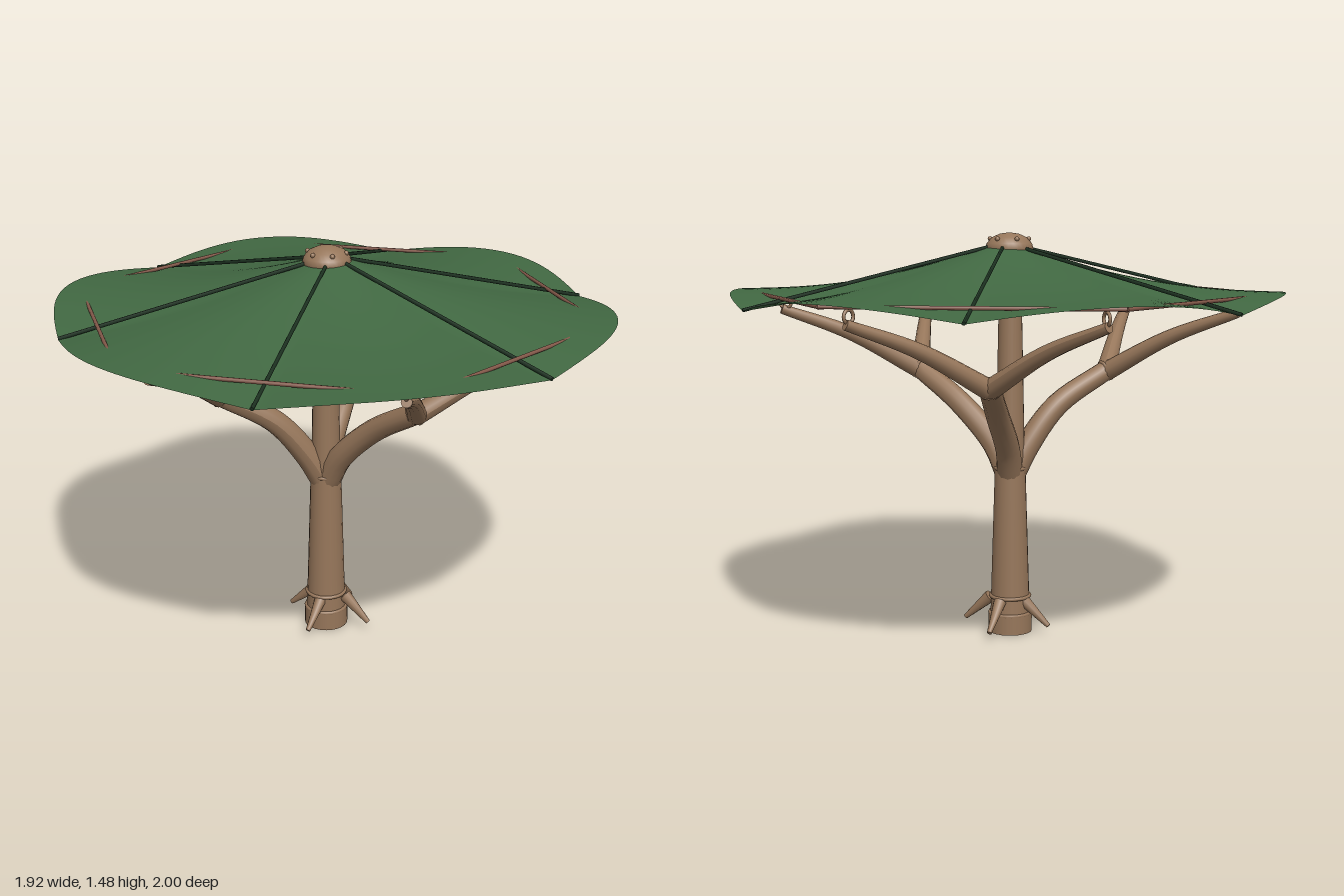
import * as THREE from 'three';

const V = (x, y, z) => new THREE.Vector3(x, y, z);
const polar = (r, a, y) => V(Math.cos(a) * r, y, Math.sin(a) * r);
const STEP = Math.PI / 3;
const TRUNK_X = -0.02;

export function createModel() {
  const model = new THREE.Group();
  const bark = new THREE.MeshStandardMaterial({ name: 'bark brown', color: 0x96765a });
  const pole = new THREE.MeshStandardMaterial({ name: 'reddish pole', color: 0x84594a });
  const cloth = new THREE.MeshStandardMaterial({ name: 'canopy green', color: 0x416842, side: THREE.DoubleSide });
  const rope = new THREE.MeshStandardMaterial({ name: 'dark rope', color: 0x1c3020 });

  const add = (name, geometry, material, position) => {
    const mesh = new THREE.Mesh(geometry, material);
    mesh.name = name;
    if (position) mesh.position.copy(position);
    model.add(mesh);
    return mesh;
  };

  // Straight rod between two points
  const rod = (name, a, b, r0, r1, material, sides = 8) => {
    const d = b.clone().sub(a);
    const mesh = add(name, new THREE.CylinderGeometry(r1, r0, d.length(), sides), material,
      a.clone().add(b).multiplyScalar(0.5));
    mesh.quaternion.setFromUnitVectors(V(0, 1, 0), d.normalize());
    return mesh;
  };

  // Curved limb that tapers along its length, closed with a disc at the tip
  const limb = (name, points, r0, r1) => {
    const curve = new THREE.CatmullRomCurve3(points);
    const n = 14, sides = 12;
    const geometry = new THREE.TubeGeometry(curve, n, 1, sides);
    const p = geometry.attributes.position, v = V(0, 0, 0);
    for (let i = 0; i <= n; i++) {
      const c = curve.getPointAt(i / n), r = r0 + (r1 - r0) * i / n;
      for (let j = 0; j <= sides; j++) {
        const k = i * (sides + 1) + j;
        v.fromBufferAttribute(p, k).sub(c).multiplyScalar(r).add(c);
        p.setXYZ(k, v.x, v.y, v.z);
      }
    }
    geometry.computeVertexNormals();
    add(name, geometry, bark);
    const end = curve.getPointAt(1), dir = curve.getTangentAt(1);
    add(name + 'End', new THREE.CircleGeometry(r1, sides), bark, end)
      .quaternion.setFromUnitVectors(V(0, 0, 1), dir);
    return dir;
  };

  const collar = (name, at, dir, r, tube) =>
    add(name, new THREE.TorusGeometry(r, tube, 8, 20), bark, at)
      .quaternion.setFromUnitVectors(V(0, 0, 1), dir);

  // Trunk and foot
  const up = V(0, 1, 0);
  add('foot', new THREE.CylinderGeometry(0.082, 0.082, 0.07, 24), bark, V(TRUNK_X, 0.035, 0));
  add('lowerTrunk', new THREE.CylinderGeometry(0.057, 0.074, 0.56, 20), bark, V(TRUNK_X, 0.34, 0));
  add('upperTrunk', new THREE.CylinderGeometry(0.038, 0.055, 0.83, 20), bark, V(TRUNK_X, 1.025, 0));
  for (const [y, r] of [[0.07, 0.076], [0.135, 0.073], [0.62, 0.055]])
    collar('trunkCollar', V(TRUNK_X, y, 0), up, r, 0.007);

  // Root spikes
  for (let i = 0; i < 4; i++) {
    const a = Math.PI / 4 + i * Math.PI / 2;
    const off = V(-0.006, 0, 0);
    rod('rootSpike', polar(0.066, a, 0.125).add(off), polar(0.168, a, 0.034).add(off), 0.024, 0.009, bark, 10);
  }

  // Three main boughs, each forking into two branches
  for (const a of [Math.PI, STEP, -STEP]) {
    const foot = V(TRUNK_X, 0, 0);
    const joint = polar(0.41, a, 0.965);
    const dir = limb('bough', [
      polar(0.012, a, 0.6).add(foot), polar(0.07, a, 0.7).add(foot),
      polar(0.21, a, 0.845), joint], 0.048, 0.038);
    collar('boughCollar', joint, dir, 0.036, 0.007);
    for (const s of [-1, 1]) {
      const tip = polar(0.835, a + s * STEP / 2, 1.2);
      const mid = joint.clone().lerp(tip, 0.5).add(V(0, 0.02, 0));
      limb('branch', [joint.clone().add(V(0, -0.005, 0)), mid, tip], 0.037, 0.018);
      // Hanging ring that ties the branch tip to the frame
      const ring = polar(0.82, a + s * STEP / 2, 1.225);
      add('tipRing', new THREE.TorusGeometry(0.022, 0.006, 8, 16), bark, ring).rotation.y = -(a + s * STEP / 2);
      rod('tipHook', ring.clone().setY(1.245), ring.clone().setY(1.268), 0.007, 0.007, bark);
    }
  }

  // Pole frame: radial struts and hexagonal rings
  for (let i = 0; i < 6; i++) {
    const a = (i + 0.5) * STEP;
    rod('frameStrut', V(TRUNK_X, 1.285, 0), polar(0.955, a, 1.262), 0.009, 0.008, pole);
    for (const r of [0.955, 0.72, 0.46])
      rod('frameRing', polar(r, a, 1.263), polar(r, a + STEP, 1.263), 0.007, 0.007, pole);
  }

  // Canopy: sagging sheet, low along the ropes and raised between them
  const N = 144, M = 18, pos = [], idx = [];
  for (let i = 0; i <= M; i++) {
    const t = i / M;
    for (let j = 0; j < N; j++) {
      const a = j / N * Math.PI * 2;
      const rim = 0.98 - 0.02 * Math.cos(6 * a);
      const y = 1.428 - 0.205 * t + 0.05 * Math.abs(Math.sin(3 * a)) * t * t - 0.028 * Math.sin(Math.PI * t);
      pos.push(...polar(0.07 + (rim - 0.07) * t, a, y).toArray());
      if (i < M) {
        const k = (j + 1) % N, p = i * N + j, q = i * N + k;
        idx.push(p, q, p + N, q, q + N, p + N);
      }
    }
  }
  const sheet = new THREE.BufferGeometry();
  sheet.setAttribute('position', new THREE.Float32BufferAttribute(pos, 3));
  sheet.setIndex(idx);
  sheet.computeVertexNormals();
  // Face the sheet upwards
  if (sheet.attributes.normal.getY(N * 5) < 0) {
    sheet.setIndex(idx.reverse());
    sheet.computeVertexNormals();
  }
  add('canopy', sheet, cloth);

  // Taut ropes over the canopy
  for (let i = 0; i < 6; i++)
    rod('canopyRope', polar(0.06, i * STEP, 1.432), polar(0.96, i * STEP, 1.226), 0.007, 0.007, rope, 6);

  // Domed hub cap with studs
  const hub = V(-0.014, 1.425, -0.005);
  const dome = [[0, -0.012], [0.082, -0.012], [0.087, 0], [0.082, 0.018], [0.064, 0.039], [0.035, 0.052], [0, 0.057]]
    .map(([x, y]) => new THREE.Vector2(x, y));
  add('hubCap', new THREE.LatheGeometry(dome, 28), bark, hub);
  for (let i = 0; i < 6; i++)
    add('hubStud', new THREE.SphereGeometry(0.009, 10, 6), bark, polar(0.07, (i + 0.5) * STEP, 0.034).add(hub));

  return model;
}
